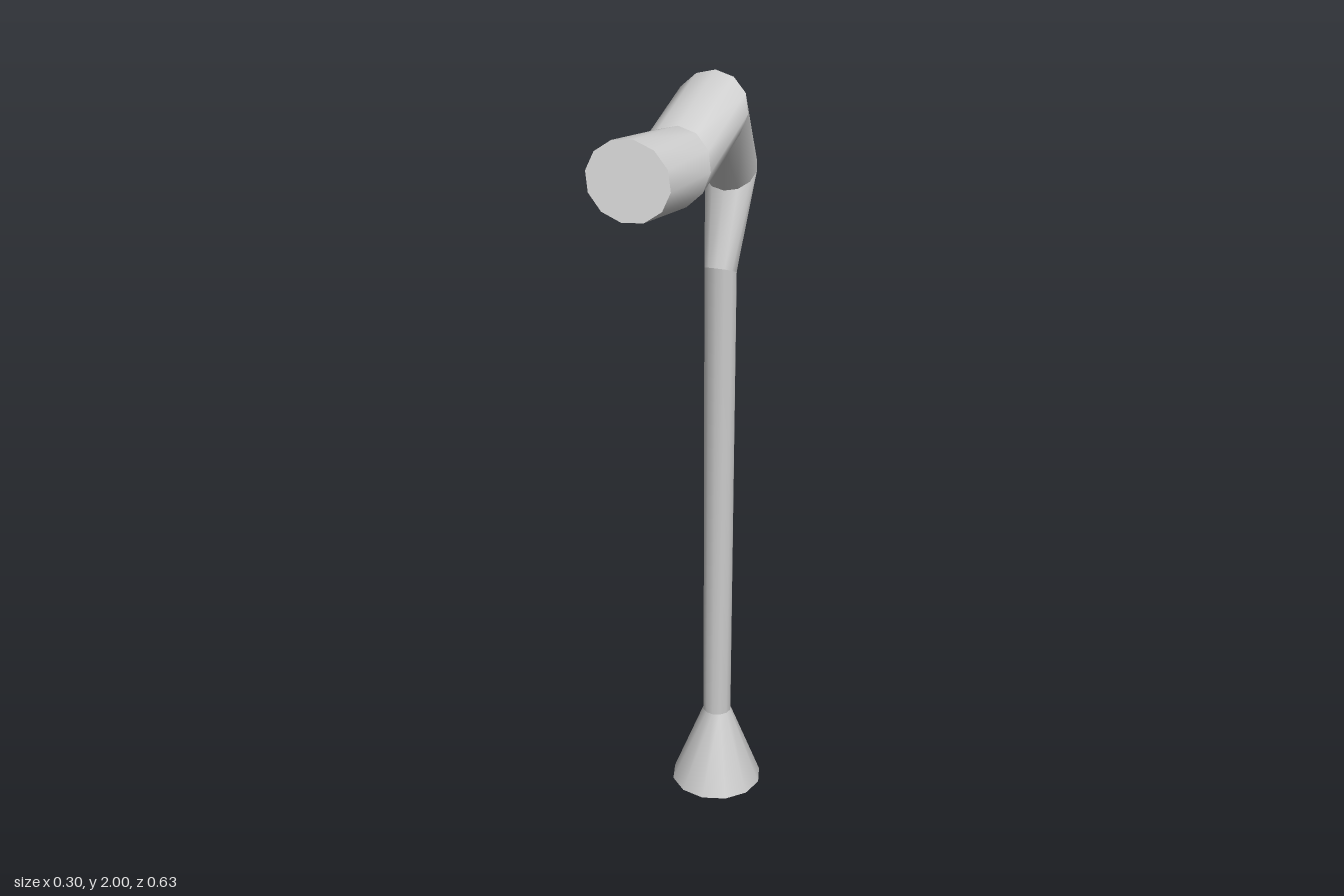
import * as THREE from 'three';
import { toCreasedNormals } from 'three/addons/utils/BufferGeometryUtils.js';

const SIDES = 12;
const material = new THREE.MeshStandardMaterial({ color: 0xcccccc });

// Each ring is an ellipse: centre c, half-axis u (sideways), half-axis v (back / top).
const rings = [
  { c: [0.027, 0, -0.187], u: [0.123, 0, 0], v: [0, 0, -0.123] },
  { c: [0.027, 0.22, -0.187], u: [0.038, 0, 0], v: [0, 0, -0.038] },
  { c: [0.026, 1.493, -0.187], u: [0.041, 0, 0], v: [0, -0.017, -0.038] },
  { c: [0.027, 1.73, -0.257], u: [0.066, 0, 0], v: [0, 0.04, -0.054] },
  { c: [0.028, 1.915, -0.094], u: [0.093, 0, 0.005], v: [0, 0.085, -0.036] },
  { c: [0.003, 1.828, 0.099], u: [0.093, 0, 0.004], v: [0, 0.087, -0.039] },
  { c: [-0.042, 1.84, 0.262], u: [0.11, -0.006, 0.027], v: [-0.003, 0.08, -0.046] },
];
const segmentNames = ['flaredFoot', 'shaft', 'lowerNeck', 'upperNeck', 'arm', 'head'];

function ringPoint({ c, u, v }, k) {
  const a = (k / SIDES) * Math.PI * 2;
  return c.map((value, i) => value + u[i] * Math.cos(a) + v[i] * Math.sin(a));
}

function makeMesh(name, positions) {
  const geometry = new THREE.BufferGeometry();
  geometry.setAttribute('position', new THREE.Float32BufferAttribute(positions, 3));
  // Smooth around each tube, sharp at the joints between tubes
  const mesh = new THREE.Mesh(toCreasedNormals(geometry, 0.8), material);
  mesh.name = name;
  return mesh;
}

// Tube wall joining two rings
function makeTube(name, lower, upper) {
  const positions = [];
  for (let k = 0; k < SIDES; k++) {
    const a = ringPoint(lower, k), b = ringPoint(lower, k + 1);
    const c = ringPoint(upper, k + 1), d = ringPoint(upper, k);
    positions.push(...a, ...b, ...c, ...a, ...c, ...d);
  }
  return makeMesh(name, positions);
}

// Flat disc closing a ring
function makeCap(name, ring, facesForward) {
  const positions = [];
  for (let k = 0; k < SIDES; k++) {
    const a = ringPoint(ring, k), b = ringPoint(ring, k + 1);
    positions.push(...ring.c, ...(facesForward ? [...a, ...b] : [...b, ...a]));
  }
  return makeMesh(name, positions);
}

export function createModel() {
  const model = new THREE.Group();
  model.name = 'bentPost';
  segmentNames.forEach((name, i) => model.add(makeTube(name, rings[i], rings[i + 1])));
  model.add(makeCap('footCap', rings[0], false));
  model.add(makeCap('headCap', rings[rings.length - 1], true));
  return model;
}
